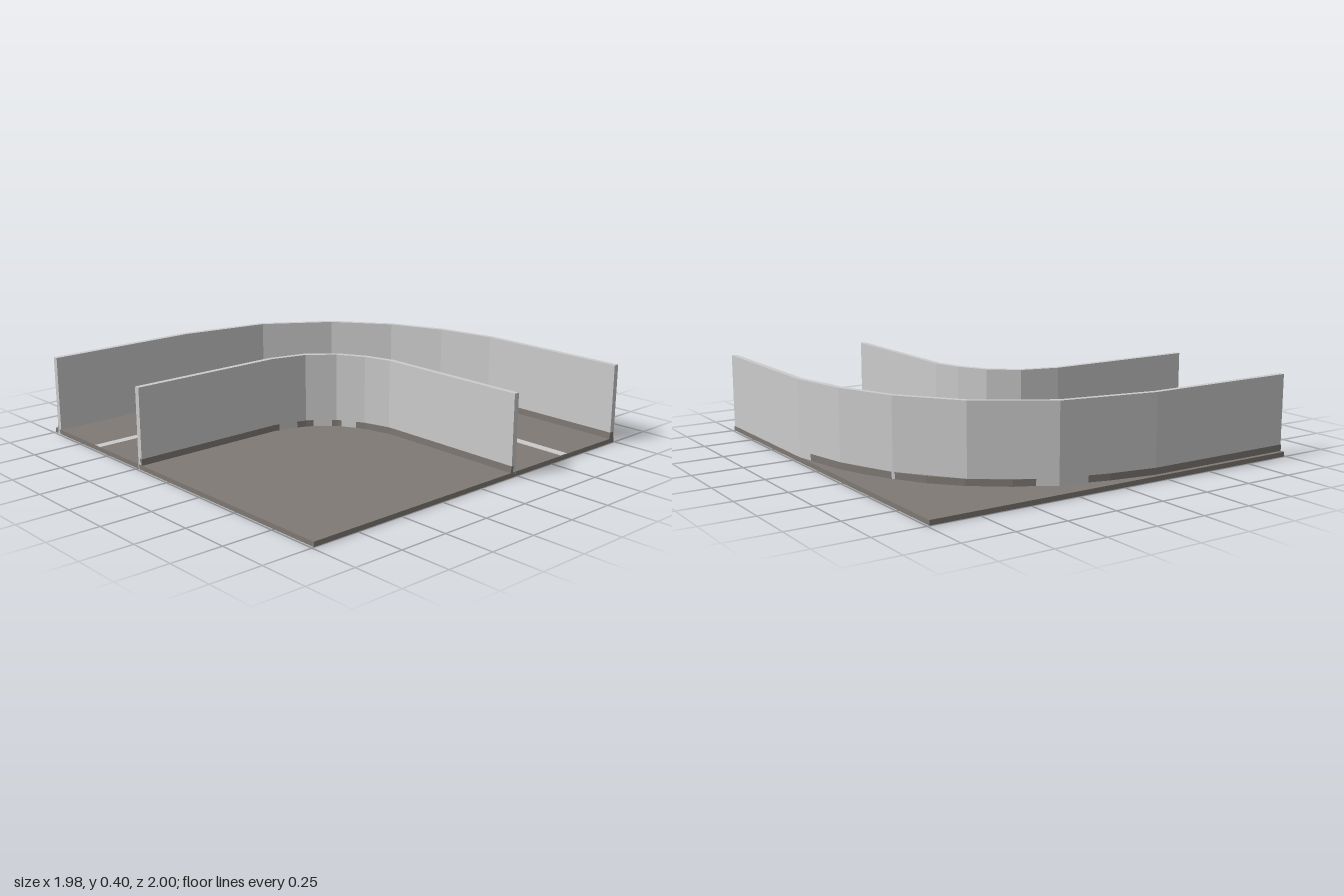
import * as THREE from 'three';

const grey = new THREE.MeshStandardMaterial({ color: 0xcccccc, flatShading: true });
const brown = new THREE.MeshStandardMaterial({ color: 0x7f7974, flatShading: true });

// Offsets a plan path [x, z] sideways, with mitred corners
function offset(path, d) {
  const dir = (a, b) => new THREE.Vector2(b[0] - a[0], b[1] - a[1]).normalize();
  return path.map((p, i) => {
    const before = i > 0 ? dir(path[i - 1], p) : dir(p, path[1]);
    const after = i < path.length - 1 ? dir(p, path[i + 1]) : before;
    const mid = before.clone().add(after).normalize();
    const k = d / mid.dot(before);
    return [p[0] - mid.y * k, p[1] + mid.x * k];
  });
}

// Upright band that follows a plan path from y0 to y1
function band(name, path, width, y0, y1, material) {
  const outline = [...offset(path, width / 2), ...offset(path, -width / 2).reverse()];
  const shape = new THREE.Shape(outline.map(([x, z]) => new THREE.Vector2(x, -z)));
  const geo = new THREE.ExtrudeGeometry(shape, { depth: y1 - y0, bevelEnabled: false });
  geo.rotateX(-Math.PI / 2).translate(0, y0, 0);
  const mesh = new THREE.Mesh(geo, material);
  mesh.name = name;
  return mesh;
}

export function createModel() {
  const group = new THREE.Group();
  group.name = 'roadCorner';

  // Ground slab
  const slab = new THREE.Mesh(new THREE.BoxGeometry(1.98, 0.023, 2), brown);
  slab.name = 'roadSlab';
  slab.position.y = 0.0125;
  group.add(slab);

  // Barrier walls around the bend
  const outer = [[-0.99, -0.96], [-0.2, -0.96], [0.265, -0.873], [0.593, -0.655],
    [0.8, -0.38], [0.914, -0.1], [0.974, 0.2], [0.974, 1]];
  const inner = [[-0.99, -0.226], [-0.2, -0.226], [-0.018, -0.178], [0.107, -0.075],
    [0.182, 0.06], [0.222, 0.2], [0.222, 1]];
  group.add(band('outerWall', outer, 0.028, 0, 0.4, grey));
  group.add(band('innerWall', inner, 0.028, 0, 0.4, grey));

  // Low kerbs, rounder than the walls, so they show at the wall feet
  const outerKerb = [[-0.99, -0.963], [-0.2, -0.963], [0.03, -0.925], [0.25, -0.866],
    [0.44, -0.773], [0.6, -0.65], [0.715, -0.52], [0.805, -0.37], [0.872, -0.23],
    [0.92, -0.09], [0.955, 0.08], [0.968, 0.3], [0.971, 0.45], [0.971, 1]];
  const innerKerb = [[-0.99, -0.223], [-0.2, -0.223], [-0.105, -0.206], [-0.02, -0.172],
    [0.05, -0.13], [0.11, -0.068], [0.151, 0], [0.182, 0.07], [0.218, 0.22], [0.219, 1]];
  group.add(band('outerKerb', outerKerb, 0.028, 0.02, 0.056, brown));
  group.add(band('innerKerb', innerKerb, 0.028, 0.02, 0.056, brown));

  // Lane markings: a straight dash and a curved one running out to the front
  const curve = new THREE.CubicBezierCurve(
    new THREE.Vector2(0.36, -0.345), new THREE.Vector2(0.53, -0.17),
    new THREE.Vector2(0.595, 0.06), new THREE.Vector2(0.595, 0.3));
  const curvedPath = [...curve.getPoints(9).map((p) => [p.x, p.y]), [0.595, 1]];
  group.add(band('straightMarking', [[-0.99, -0.594], [-0.3, -0.594]], 0.045, 0.02, 0.0265, grey));
  group.add(band('curvedMarking', curvedPath, 0.045, 0.02, 0.0265, grey));

  return group;
}
